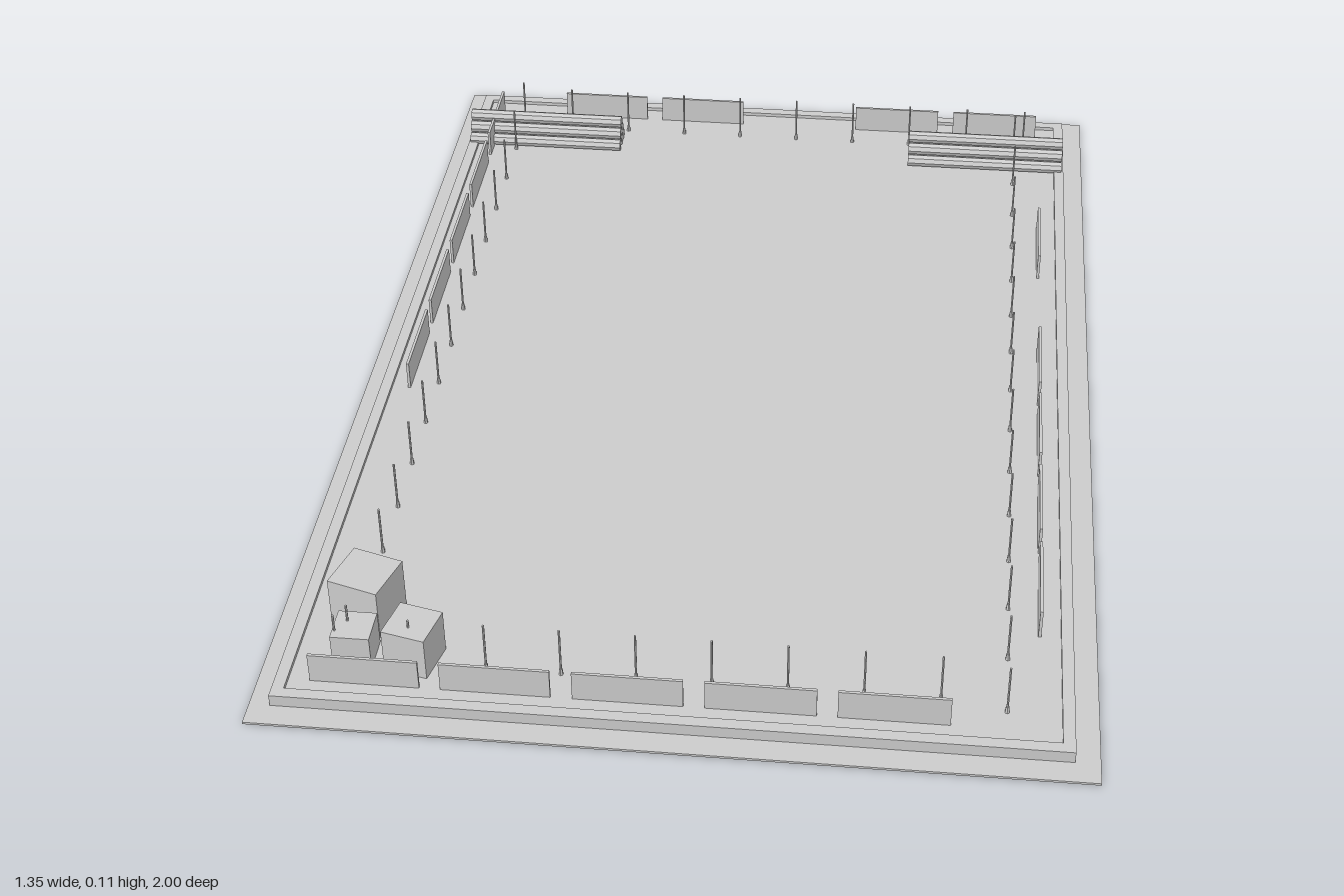
import * as THREE from 'three';

const FLOOR = 0.018;
const material = new THREE.MeshStandardMaterial({ color: 0xcccccc, flatShading: true });

function add(parent, name, geometry, x, y, z) {
  const mesh = new THREE.Mesh(geometry, material);
  mesh.name = name;
  mesh.position.set(x, y, z);
  parent.add(mesh);
  return mesh;
}

// Box standing on height y
function box(parent, name, w, h, d, x, y, z) {
  return add(parent, name, new THREE.BoxGeometry(w, h, d), x, y + h / 2, z);
}

function group(parent, name) {
  const g = new THREE.Group();
  g.name = name;
  parent.add(g);
  return g;
}

// Thin pole with a slightly wider foot
function pole(parent, x, z) {
  const p = group(parent, 'pole');
  p.position.set(x, FLOOR, z);
  add(p, 'shaft', new THREE.CylinderGeometry(0.002, 0.002, 0.094, 6), 0, 0.047, 0);
  add(p, 'foot', new THREE.CylinderGeometry(0.003, 0.004, 0.012, 6), 0, 0.006, 0);
}

// Pyramid of six logs lying along x
function logPile(parent, x, z) {
  const pile = group(parent, 'logPile');
  const r = 0.0125;
  const log = new THREE.CylinderGeometry(r, r, 0.325, 8).rotateZ(Math.PI / 2);
  for (let row = 0; row < 3; row++) {
    const count = 3 - row;
    for (let i = 0; i < count; i++) {
      add(pile, 'log', log, x, FLOOR + r + row * r * 1.73, z + (i - (count - 1) / 2) * 2 * r);
    }
  }
}

export function createModel() {
  const model = new THREE.Group();
  model.name = 'fencedYard';

  // Ground sheet and raised floor
  box(model, 'ground', 1.35, 0.004, 2, 0, 0, 0);
  box(model, 'floor', 1.25, FLOOR - 0.004, 1.9, -0.003, 0.004, -0.004);

  // Kerb around the floor
  const kerb = group(model, 'kerb');
  for (const s of [-1, 1]) {
    box(kerb, 'sideKerb', 0.02, 0.021, 1.925, -0.003 + s * 0.628, 0.004, -0.004);
    box(kerb, 'endKerb', 1.236, 0.021, 0.02, -0.003, 0.004, -0.004 + s * 0.9525);
  }

  // Fence panels, with a gap left on the back and left sides
  const panels = group(model, 'fencePanels');
  const L = 0.178, H = 0.054, T = 0.005;
  for (const x of [-0.497, -0.285, -0.072, 0.14, 0.351]) box(panels, 'frontPanel', L, H, T, x, FLOOR, 0.908);
  for (const x of [-0.36, -0.149, 0.275, 0.486]) box(panels, 'backPanel', L, H, T, x, FLOOR, -0.911);
  for (const z of [-0.815, -0.604, -0.393, -0.182, 0.029]) box(panels, 'rightPanel', T, H, L, -0.589, FLOOR, z);
  for (const z of [0.602, 0.391, 0.18, -0.031, -0.453]) box(panels, 'leftPanel', T, H, L, 0.58, FLOOR, z);

  // Rows of poles just inside the fence
  const poles = group(model, 'poles');
  const step = 0.122;
  for (let i = 0; i < 9; i++) {
    pole(poles, -0.553 + i * step, 0.856);
    pole(poles, 0.548 - i * step, -0.856);
  }
  for (let i = 0; i < 15; i++) {
    pole(poles, -0.537, -0.877 + i * step);
    pole(poles, 0.528, 0.872 - i * step);
  }

  // Log piles in the back corners
  logPile(model, -0.475, -0.797);
  logPile(model, 0.468, -0.797);

  // Crates in the front right corner
  const crates = group(model, 'crates');
  box(crates, 'largeCrate', 0.09, 0.094, 0.09, -0.525, FLOOR, 0.745).rotation.y = -0.29;
  box(crates, 'mediumCrate', 0.075, 0.079, 0.075, -0.428, FLOOR, 0.843).rotation.y = -0.23;
  box(crates, 'smallCrate', 0.064, 0.062, 0.064, -0.525, FLOOR, 0.841);

  return model;
}
